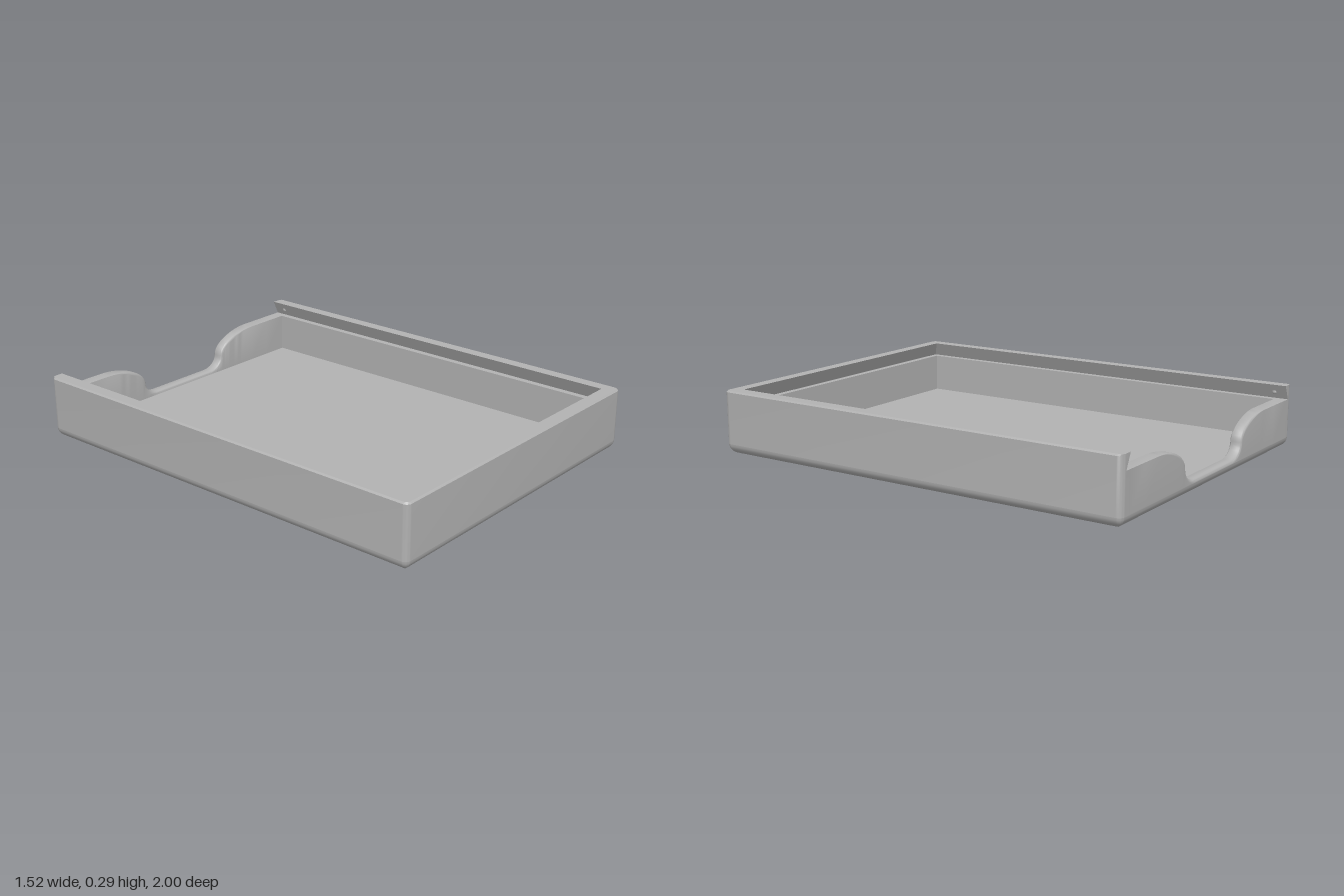
import * as THREE from 'three';
import { toCreasedNormals } from 'three/addons/utils/BufferGeometryUtils.js';

const HW = 0.76, HD = 1, TOP = 0.29, LEDGE = 0.225, FLOOR = 0.05;
const WALL = 0.06, R = 0.025, STEPS = 6;

// Builds a surface from rows of points, with optional extra triangles
function surface(rows, extra = []) {
  const pos = [];
  const tri = (a, b, c) => {
    const area = new THREE.Triangle(a, b, c).getArea();
    if (area > 1e-9) for (const p of [a, b, c]) pos.push(p.x, p.y, p.z);
  };
  for (let i = 0; i + 1 < rows.length; i++) {
    for (let j = 0; j + 1 < rows[i].length; j++) {
      const a = rows[i][j], b = rows[i + 1][j], c = rows[i + 1][j + 1], d = rows[i][j + 1];
      tri(a, b, c);
      tri(a, c, d);
    }
  }
  extra.forEach((t) => tri(...t));
  const geo = new THREE.BufferGeometry();
  geo.setAttribute('position', new THREE.Float32BufferAttribute(pos, 3));
  return toCreasedNormals(geo, 0.6);
}

// Point on a rounded corner of the footprint, inset by d
function corner(sx, sz, angle, d, y) {
  const r = Math.max(R - d, 0), inset = Math.max(R, d);
  return new THREE.Vector3(sx * (HW - inset) + r * Math.cos(angle), y,
    sz * (HD - inset) + r * Math.sin(angle));
}

// Floor slab with a rounded lower edge
function baseGeometry() {
  const ring = (d, y) => {
    const pts = [];
    [[1, 1], [-1, 1], [-1, -1], [1, -1]].forEach(([sx, sz], q) => {
      for (let k = 0; k <= STEPS; k++) pts.push(corner(sx, sz, (q + k / STEPS) * Math.PI / 2, d, y));
    });
    pts.push(pts[0]);
    return pts;
  };
  const rings = [];
  for (let k = 0; k <= 8; k++) {
    const a = (k / 8) * Math.PI / 2;
    rings.push(ring(0.065 * (1 - Math.sin(a)), FLOOR * (1 - Math.cos(a))));
  }
  const centre = (y) => rings[0].map(() => new THREE.Vector3(0, y, 0));
  return surface([centre(0), ...rings, centre(FLOOR)]);
}

// Side and front walls: one undercut section swept around three sides
function wallGeometry() {
  const profile = [[WALL, FLOOR], [WALL, LEDGE], [0.03, LEDGE], [WALL, TOP],
    [0.007, TOP], [0, TOP - 0.007], [0, FLOOR]];
  const half = [];
  for (let k = STEPS; k >= 0; k--) { // rounded back end
    const a = (k / STEPS) * Math.PI / 2;
    half.push(profile.map(([d, y]) => new THREE.Vector3(
      HW - Math.max(d, R * (1 - Math.cos(a))), y, -HD + R * (1 - Math.sin(a)))));
  }
  for (let k = 0; k <= STEPS; k++) { // front corner
    half.push(profile.map(([d, y]) => corner(1, 1, (k / STEPS) * Math.PI / 2, d, y)));
  }
  const flip = (row) => row.map((p) => new THREE.Vector3(-p.x, p.y, p.z));
  const rows = [...half, ...half.map(flip).reverse()];

  // End caps facing the back
  const caps = [];
  for (const row of [rows[0], rows[rows.length - 1]]) {
    const flat = row.map((p) => new THREE.Vector2(p.x, p.y));
    for (const [a, b, c] of THREE.ShapeUtils.triangulateShape(flat, [])) {
      const turn = flat[b].clone().sub(flat[a]).cross(flat[c].clone().sub(flat[a]));
      caps.push(turn < 0 ? [row[a], row[b], row[c]] : [row[a], row[c], row[b]]);
    }
  }
  return surface(rows, caps);
}

// Low back wall with a finger notch whose edges are rounded over
function backWallGeometry() {
  const low = FLOOR + 0.015, mid = 0.125, x0 = 0.17, x1 = 0.25, x2 = 0.47;
  const right = [[HW - WALL, LEDGE], [0.58, LEDGE]];
  for (let k = 0; k <= 12; k++) { // convex shoulder
    const a = (k / 12) * Math.PI / 2;
    right.push([x2 - (x2 - x1) * Math.sin(a), mid + (LEDGE - mid) * Math.cos(a)]);
  }
  for (let k = 1; k <= 8; k++) { // concave foot
    const a = (k / 8) * Math.PI / 2;
    right.push([x0 + (x1 - x0) * Math.cos(a), mid - (mid - low) * Math.sin(a)]);
  }
  const line = [...right, ...right.map(([x, y]) => [-x, y]).reverse()];
  const rows = line.map(([x, y], i) => {
    const p = line[Math.max(i - 1, 0)], q = line[Math.min(i + 1, line.length - 1)];
    const n = new THREE.Vector2(q[1] - p[1], p[0] - q[0]).normalize();
    const b = 0.015 * (1 - THREE.MathUtils.smoothstep(Math.abs(x), 0.28, 0.5));
    const at = (z, inset) => new THREE.Vector3(x - n.x * inset, y - n.y * inset, z);
    const zIn = -HD + 0.055, outer = [], inner = [];
    for (let k = 0; k <= 5; k++) {
      const a = (k / 5) * Math.PI / 2;
      outer.push(at(-HD + b * (1 - Math.cos(a)), b * (1 - Math.sin(a))));
      inner.unshift(at(zIn - b * (1 - Math.cos(a)), b * (1 - Math.sin(a))));
    }
    const foot = (z) => new THREE.Vector3(outer[0].x, FLOOR, z);
    return [foot(-HD), ...outer, ...inner, foot(zIn)];
  });
  // rows run from +x to -x, so reverse them to face outward
  return surface(rows.reverse().map((r) => r.reverse()));
}

export function createModel() {
  const grey = new THREE.MeshStandardMaterial({ color: 0xb2b2b2 });
  grey.name = 'grey';
  const model = new THREE.Group();
  model.name = 'slidingLidTray';
  const add = (name, geo) => {
    const mesh = new THREE.Mesh(geo, grey);
    mesh.name = name;
    model.add(mesh);
    return mesh;
  };
  add('base', baseGeometry());
  add('grooveWalls', wallGeometry());
  add('backWall', backWallGeometry());

  // Small lid detents in the side grooves
  for (const s of [1, -1]) {
    const detent = add(s > 0 ? 'leftDetent' : 'rightDetent', new THREE.SphereGeometry(0.011, 16, 10));
    detent.position.set(s * 0.718, 0.255, -0.94);
    detent.scale.x = 0.6;
  }
  return model;
}
